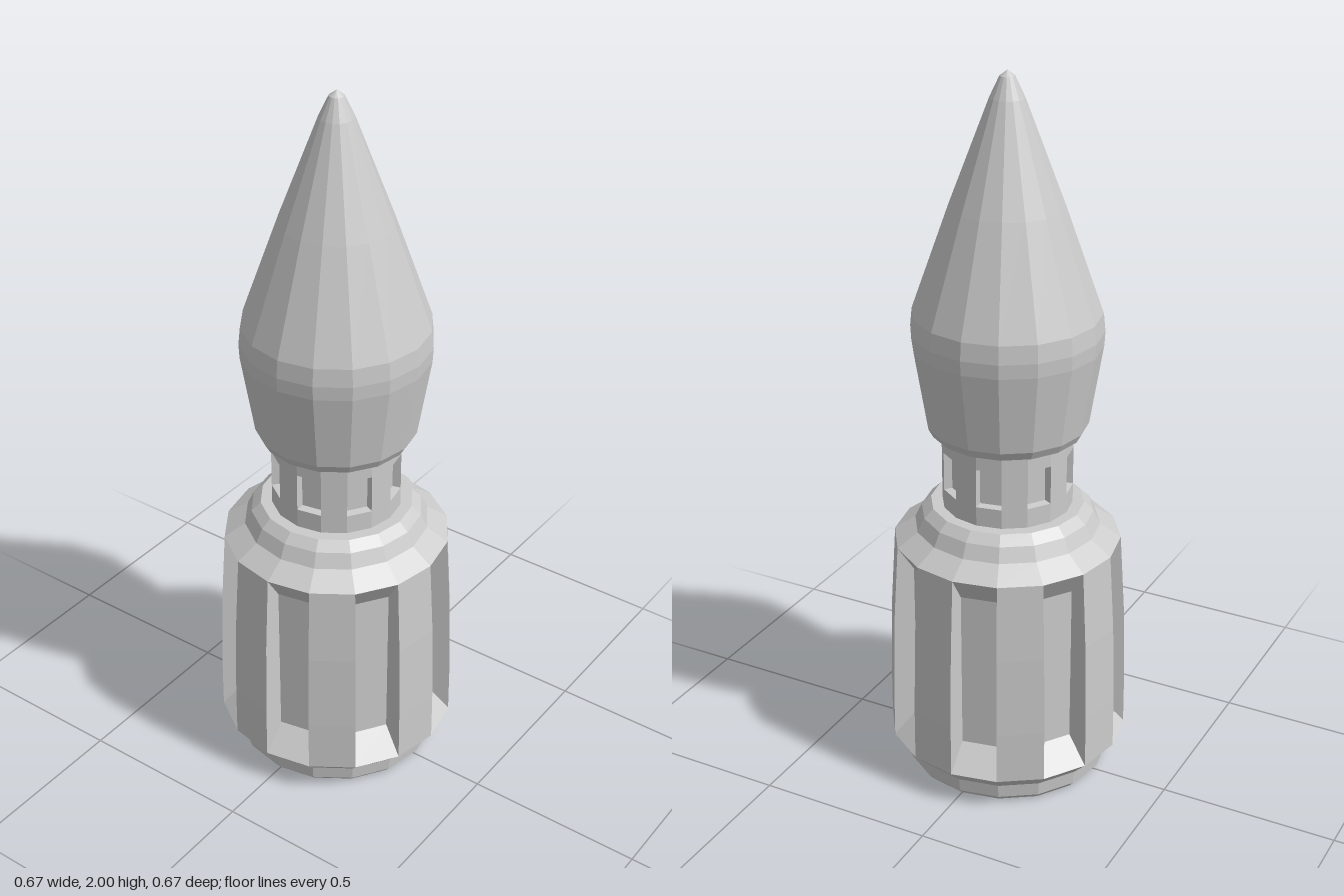
import * as THREE from 'three';

const SIDES = 16;
const STEP = (Math.PI * 2) / SIDES;
const material = new THREE.MeshStandardMaterial({ color: 0xcccccc, flatShading: true });

// Profile point [radius, height, octagonal?] placed on facet edge k
function place([r, y, oct], k) {
  const rad = oct && k % 2 ? r * Math.cos(Math.PI / 8) : r;
  return [rad * Math.sin(k * STEP), y, rad * Math.cos(k * STEP)];
}

function polygon(out, pts) {
  for (let i = 1; i < pts.length - 1; i++) out.push(...pts[0], ...pts[i], ...pts[i + 1]);
}

// One facet of a revolved profile, running from edge k to edge k + 1
function facet(out, profile, k) {
  for (let i = 0; i < profile.length - 1; i++) {
    const [p, q] = [profile[i], profile[i + 1]];
    if (p[0] > 0) polygon(out, [place(p, k), place(p, k + 1), place(q, k + 1)]);
    if (q[0] > 0) polygon(out, [place(p, k), place(q, k + 1), place(q, k)]);
    else polygon(out, [place(p, k), place(p, k + 1), place(q, k)]);
  }
}

function makeMesh(name, positions) {
  const geometry = new THREE.BufferGeometry();
  geometry.setAttribute('position', new THREE.Float32BufferAttribute(positions, 3));
  geometry.computeVertexNormals();
  const mesh = new THREE.Mesh(geometry, material);
  mesh.name = name;
  return mesh;
}

function revolved(name, profile) {
  const out = [];
  for (let k = 0; k < SIDES; k++) facet(out, profile, k);
  return makeMesh(name, out);
}

// Drum whose every second facet is a pocket with a floor, bevels and side walls
function pocketed(name, outer, inner) {
  const out = [];
  const pocket = [outer[0], ...inner, outer[outer.length - 1]];
  const wall = [...pocket, ...outer.slice(1, -1).reverse()];
  for (let k = 0; k < SIDES; k++) {
    if (k % 2) {
      facet(out, outer, k);
    } else {
      facet(out, pocket, k);
      polygon(out, wall.map((p) => place(p, k)));
      polygon(out, wall.map((p) => place(p, k + 1)).reverse());
    }
  }
  return makeMesh(name, out);
}

export function createModel() {
  const group = new THREE.Group();
  group.name = 'flutedRocket';

  // Base with a stepped octagonal socket underneath
  group.add(revolved('base', [
    [0, 0.12, true], [0.05, 0.12, true], [0.05, 0.06, true], [0.125, 0.06, true],
    [0.13, 0.02, true], [0.145, 0, true],
    [0.275, 0], [0.288, 0.015], [0.292, 0.055], [0.337, 0.1],
  ]));

  // Slightly bulging body with eight tall flutes
  group.add(pocketed('flutedBody',
    [[0.337, 0.1], [0.336, 0.25], [0.329, 0.48], [0.315, 0.7]],
    [[0.27, 0.17], [0.27, 0.63]]));

  group.add(revolved('shoulder', [
    [0.315, 0.7], [0.257, 0.74], [0.238, 0.78], [0.212, 0.805], [0.18, 0.805],
  ]));

  // Neck: plain collars around a band of recessed windows
  group.add(revolved('lowerNeck', [[0.18, 0.805], [0.18, 0.86]]));
  group.add(pocketed('neckWindows',
    [[0.18, 0.86], [0.18, 0.97]],
    [[0.157, 0.862], [0.157, 0.968]]));
  group.add(revolved('upperNeck', [[0.18, 0.97], [0.18, 1.01]]));

  // Pointed head
  group.add(revolved('head', [
    [0.18, 1.01], [0.207, 1.02], [0.221, 1.045], [0.257, 1.27], [0.259, 1.31], [0.254, 1.36],
    [0.152, 1.65], [0.046, 1.93], [0.02, 1.985], [0, 2],
  ]));

  return group;
}
